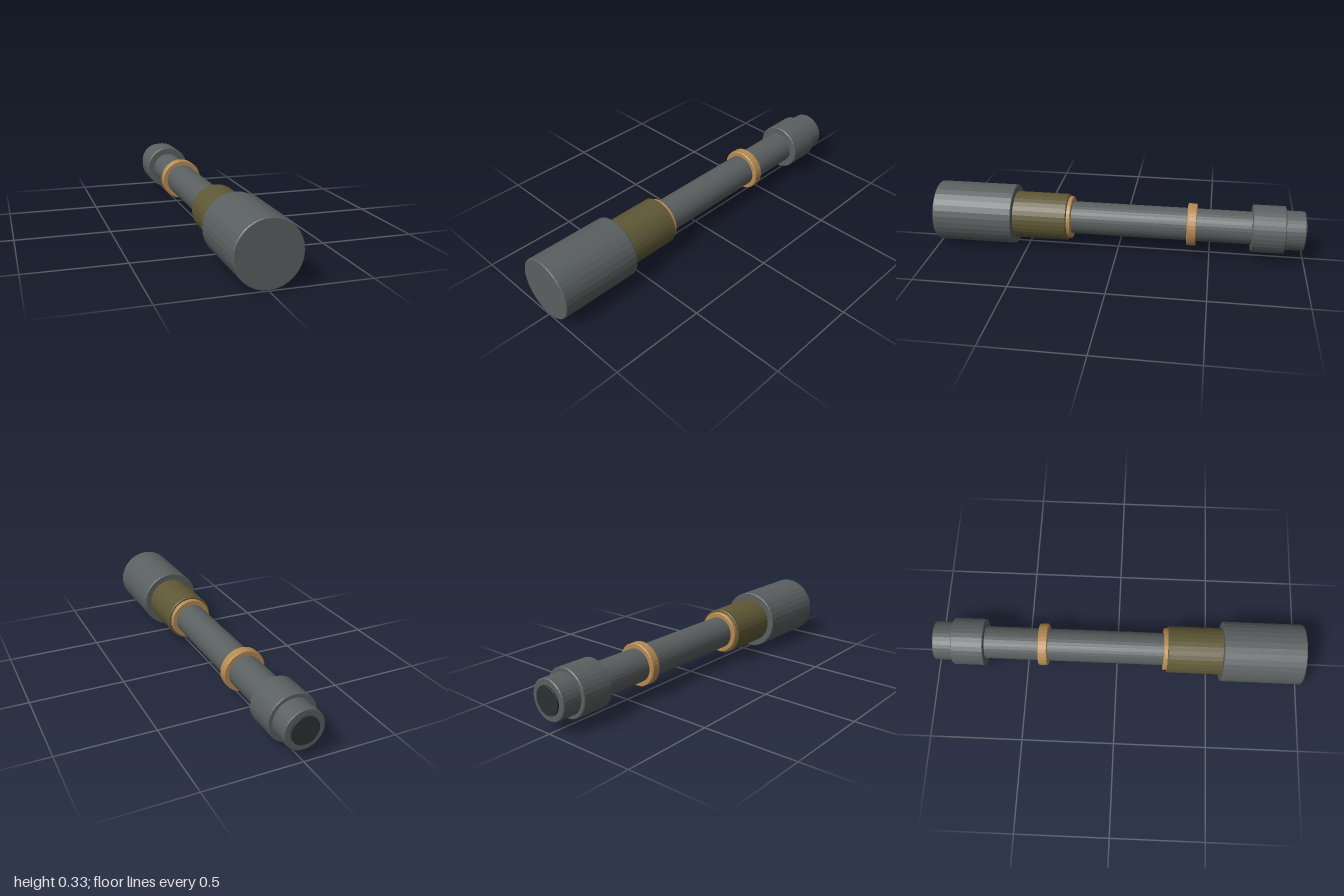
import * as THREE from 'three';

const AXIS_Y = 0.164;
const SIDES = 32;

// Solid turned part along z with small chamfers on both rims
function turned(name, material, z0, z1, radius, bevel = 0.004) {
  const profile = [
    [0, z0], [radius - bevel, z0], [radius, z0 + bevel],
    [radius, z1 - bevel], [radius - bevel, z1], [0, z1],
  ].map(([r, z]) => new THREE.Vector2(r, z));
  const geometry = new THREE.LatheGeometry(profile, SIDES);
  geometry.rotateX(Math.PI / 2);
  const mesh = new THREE.Mesh(geometry, material);
  mesh.name = name;
  mesh.position.y = AXIS_Y;
  return mesh;
}

export function createModel() {
  const paint = (name, color) =>
    new THREE.MeshStandardMaterial({ name, color, flatShading: true });
  const steel = paint('steel grey', 0x5a5f5f);
  const olive = paint('olive', 0x5f5836);
  const brass = paint('brass', 0xb58a52);
  const dark = paint('dark bore', 0x2b3131);

  const model = new THREE.Group();
  model.name = 'barrel';
  model.add(
    // Heavy front end and its olive sleeve
    turned('breech', steel, 0.565, 1.0, 0.163),
    turned('sleeve', olive, 0.272, 0.57, 0.127),
    turned('sleeveRing', brass, 0.25, 0.28, 0.115),
    // Long tube with a collar
    turned('tube', steel, -0.73, 0.26, 0.088, 0.002),
    turned('collar', brass, -0.425, -0.375, 0.114),
    // Stepped rear end with a dark opening
    turned('muzzle', steel, -0.89, -0.717, 0.127),
    turned('muzzleTip', steel, -0.992, -0.88, 0.105),
    turned('bore', dark, -1.0, -0.991, 0.073, 0.001),
  );
  return model;
}
